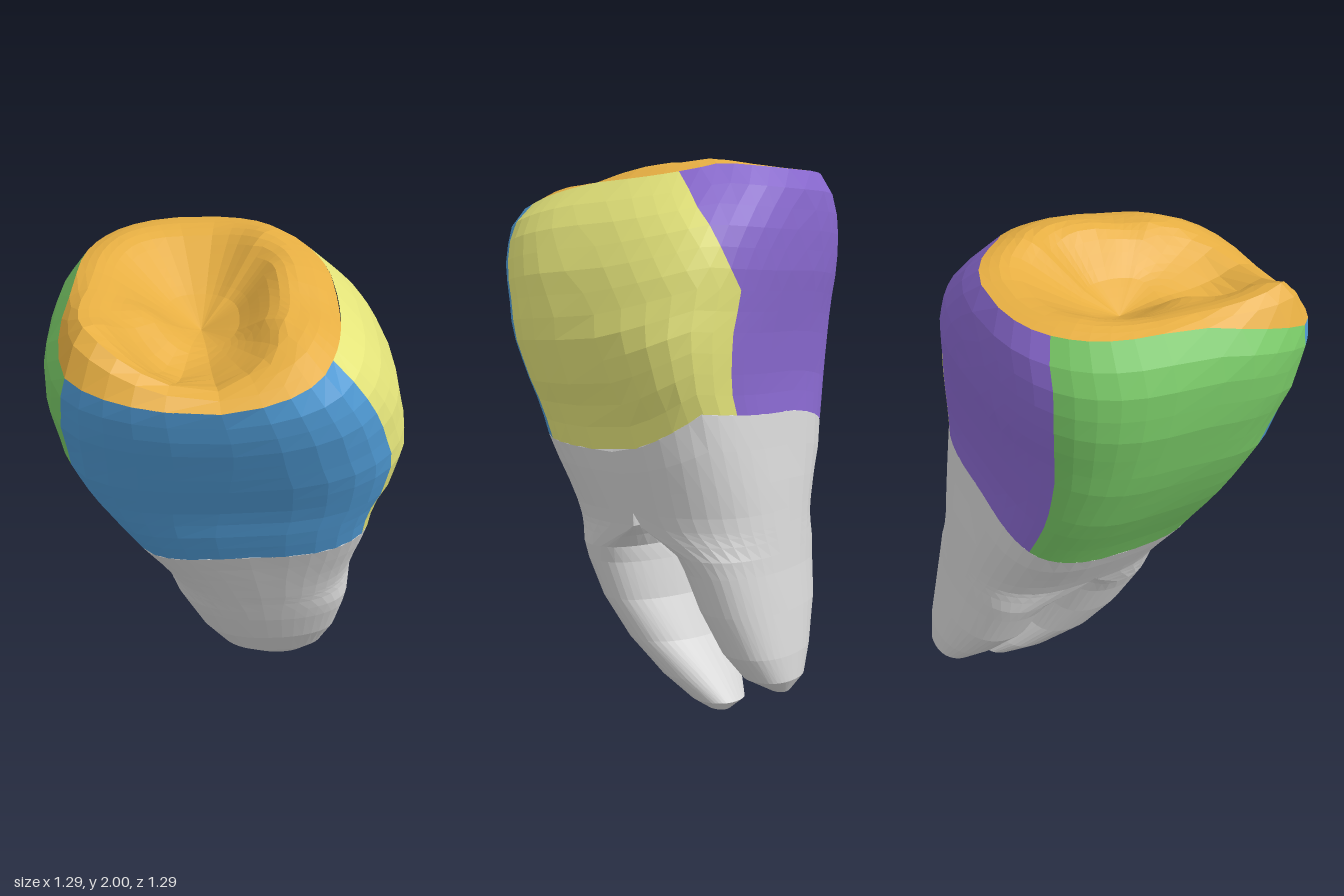
import * as THREE from 'three';

const mat = (name, color) => {
  const m = new THREE.MeshStandardMaterial({ color });
  m.name = name;
  return m;
};

const { lerp, clamp, smoothstep } = THREE.MathUtils;
const PI = Math.PI;
const rad = d => d * PI / 180;

// Row of a table at key k; the first entry of each row is its key, ascending
function lookup(table, k) {
  let i = 0;
  while (i < table.length - 2 && k > table[i + 1][0]) i++;
  const a = table[i], b = table[i + 1];
  const f = clamp((k - a[0]) / (b[0] - a[0]), 0, 1);
  return a.slice(1).map((v, n) => lerp(v, b[n + 1], f));
}

// Eight values spaced round the tooth: +x, +x+z, +z, -x+z, -x, -x-z, -z, +x-z
function around(values, angle) {
  const p = (((angle / (2 * PI)) % 1) + 1) % 1 * 8;
  const i = Math.floor(p);
  return lerp(values[i % 8], values[(i + 1) % 8], p - i);
}

// Body outline: y, xMin, xMax, zMin, zMax
const BODY = [
  [0.50, -0.17, 0.45, -0.58, 0.18],
  [0.70, -0.26, 0.49, -0.55, 0.26],
  [0.90, -0.38, 0.53, -0.52, 0.335],
  [1.00, -0.43, 0.545, -0.50, 0.375],
  [1.10, -0.49, 0.555, -0.485, 0.41],
  [1.20, -0.55, 0.605, -0.475, 0.435],
  [1.38, -0.63, 0.645, -0.485, 0.52],
  [1.60, -0.67, 0.595, -0.51, 0.61],
  [1.75, -0.665, 0.52, -0.51, 0.645],
  [1.82, -0.645, 0.47, -0.505, 0.635],
  [1.90, -0.585, 0.385, -0.495, 0.58],
  [1.96, -0.53, 0.32, -0.455, 0.53],
  [2.00, -0.48, 0.28, -0.40, 0.48],
];
// Height of the neck line, the biting-surface edge and the cusp crest
const NECK = [0.97, 0.99, 0.97, 0.92, 0.92, 0.99, 1.09, 1.12];
const EDGE = [1.92, 1.83, 1.75, 1.81, 1.93, 1.945, 1.96, 1.98];
const CREST = [1.975, 1.92, 1.79, 1.97, 1.94, 1.965, 1.965, 2.0];
// How far in from the edge the crest lies
const CREST_IN = [0.33, 0.36, 0.16, 0.15, 0.16, 0.18, 0.16, 0.2];
// Inward trimming of the outline: whole crown, and extra near the top
const TRIM = [0, 0, 0, -0.03, 0.05, 0.02, 0, -0.03];
const TOP_TRIM = [0, 0.11, 0, 0, 0, 0.02, 0, 0.12];

// Corners between the crown's four walls: height fraction, then four angles
const CORNERS = [
  [0.0, 34, 156, 230, 294],
  [0.5, 34, 147, 230, 296],
  [0.8, 38, 140, 231, 320],
  [1.0, 41, 137, 232, 339],
];

// Rounded-square ring point
function ring([x0, x1, z0, z1], y, angle, n) {
  const pow = v => Math.sign(v) * Math.abs(v) ** (2 / n);
  return new THREE.Vector3(
    (x0 + x1) / 2 + (x1 - x0) / 2 * pow(Math.cos(angle)), y,
    (z0 + z1) / 2 + (z1 - z0) / 2 * pow(Math.sin(angle)));
}

function body(y, angle) {
  // The outline is squarest round the neck
  const n = 2.75 + 0.5 * smoothstep(y, 0.75, 1) * (1 - smoothstep(y, 1.1, 1.5));
  const box = lookup(BODY, y), p = ring(box, y, angle, n);
  const trim = around(TRIM, angle) * smoothstep(y, 0.9, 1.4)
    + around(TOP_TRIM, angle) * smoothstep(y, 1.7, 1.97);
  return p.lerp(new THREE.Vector3((box[0] + box[1]) / 2, y, (box[2] + box[3]) / 2), trim);
}

// Faceted surface from a grid of points; up = rows run upward
function loft(name, material, rows, cols, point, up) {
  const pos = [], index = [];
  for (let j = 0; j <= rows; j++)
    for (let i = 0; i <= cols; i++) pos.push(...point(i / cols, j / rows, j).toArray());
  for (let j = 0; j < rows; j++)
    for (let i = 0; i < cols; i++) {
      const a = j * (cols + 1) + i, b = a + 1, c = a + cols + 1, d = c + 1;
      index.push(...(up ? [a, c, b, b, c, d] : [a, b, c, b, d, c]));
    }
  let geo = new THREE.BufferGeometry();
  geo.setAttribute('position', new THREE.Float32BufferAttribute(pos, 3));
  geo.setIndex(index);
  geo = geo.toNonIndexed();
  geo.computeVertexNormals();
  const mesh = new THREE.Mesh(geo, material);
  mesh.name = name;
  return mesh;
}

// Angle at fraction f across wall k, at height fraction v
function wallAngle(k, f, v) {
  const c = lookup(CORNERS, v);
  return rad(lerp(c[k], k < 3 ? c[k + 1] : c[0] + 360, f));
}

function crownWall(name, material, k) {
  return loft(name, material, 12, 10, (f, v) => {
    const a = wallAngle(k, f, v);
    return body(lerp(around(NECK, a), around(EDGE, a), v), a);
  }, true);
}

// Biting surface: edge, raised crest, then down to the central pit
function bitingSurface(material) {
  const dent = (p, x, z, r, depth) =>
    depth * Math.exp(-((p.x - x) ** 2 + (p.z - z) ** 2) / (r * r));
  return loft('bitingSurface', material, 14, 40, (u, s) => {
    const k = Math.min(3, Math.floor(u * 4 + 1e-9));
    const a = wallAngle(k, u * 4 - k, 1);
    const edge = around(EDGE, a), crest = around(CREST, a), inset = around(CREST_IN, a);
    const p = body(edge, a).lerp(new THREE.Vector3(-0.1, 0, 0.04), s);
    const [y] = lookup([[0, edge], [inset * 0.5, lerp(edge, crest, 0.7)], [inset, crest],
      [inset + 0.12, crest - 0.02], [0.7, lerp(crest, 1.75, 0.7)], [1, 1.74]], s);
    // Front pit, notch in the +x crest, and the ridge between the two pits
    p.y = y - dent(p, -0.22, 0.38, 0.13, 0.06) - dent(p, 0.25, 0.2, 0.13, 0.03)
      + dent(p, -0.28, 0.17, 0.1, 0.04);
    return p;
  }, true);
}

// Root: half of the body at the neck, parting into its own tapering ring
function root(name, material, front, table, tip) {
  const levels = [0, 0, 0.35, 0.7, 1, 0.7, 0.68, 0.65, 0.6,
    ...table.map(r => r[0]).reverse().slice(1), tip.y];
  const side = front ? 1 : -1;
  return loft(name, material, levels.length - 1, 40, (u, v, j) => {
    if (j === levels.length - 1) return tip.clone();
    const a = u * 2 * PI, outer = Math.sin(a) * side >= -1e-9;
    const y = j < 5 ? lerp(outer ? around(NECK, a) : 0.9, 0.75, levels[j]) : levels[j];
    const half = body(y, a);
    const [x0, x1, z0, z1] = lookup(BODY, y);
    if (!outer) half.z = (z0 + z1) / 2;
    // First row is tucked up inside the crown
    if (j === 0) return half.lerp(new THREE.Vector3((x0 + x1) / 2, y + 1, (z0 + z1) / 2), 0.04);
    // Ring of the free root, its inner face skewed towards the back at -x
    const box = lookup(table, y), free = ring(box, y, a, 2.3);
    const skew = (free.x - (box[0] + box[1]) / 2) / (box[1] - box[0]);
    if (front) free.z += 0.12 * skew * (1 - Math.sin(a)) / 2 * Math.min(1, y / 0.4);
    return half.lerp(free, 1 - smoothstep(y, 0.56, 0.73));
  }, false);
}

export function createModel() {
  const group = new THREE.Group();
  group.name = 'molar';
  const blue = mat('blue', 0x4f9ad4), yellow = mat('yellow', 0xe4e47a);
  const green = mat('green', 0x78c866), purple = mat('purple', 0x8868ce);
  const orange = mat('orange', 0xe6ae42), grey = mat('grey', 0xd4d4d4);

  // Crown walls
  group.add(crownWall('frontWall', blue, 0));
  group.add(crownWall('rightWall', green, 1));
  group.add(crownWall('backWall', purple, 2));
  group.add(crownWall('leftWall', yellow, 3));
  group.add(bitingSurface(orange));

  // Roots: y, xMin, xMax, zMin, zMax
  group.add(root('frontRoot', grey, true, [
    [0.01, 0.23, 0.30, -0.39, -0.31],
    [0.04, 0.15, 0.33, -0.42, -0.23],
    [0.12, 0.06, 0.36, -0.36, -0.10],
    [0.25, -0.04, 0.395, -0.26, 0.04],
    [0.40, -0.12, 0.43, -0.19, 0.14],
    [0.54, -0.18, 0.455, -0.16, 0.20],
    [0.70, -0.26, 0.49, -0.10, 0.26],
  ], new THREE.Vector3(0.27, 0, -0.35)));
  group.add(root('backRoot', grey, false, [
    [0.11, 0.19, 0.26, -0.615, -0.55],
    [0.16, 0.09, 0.34, -0.645, -0.45],
    [0.25, 0.0, 0.39, -0.635, -0.37],
    [0.40, -0.12, 0.43, -0.605, -0.28],
    [0.54, -0.18, 0.455, -0.575, -0.22],
    [0.70, -0.26, 0.49, -0.55, -0.18],
  ], new THREE.Vector3(0.22, 0.1, -0.59)));
  return group;
}
